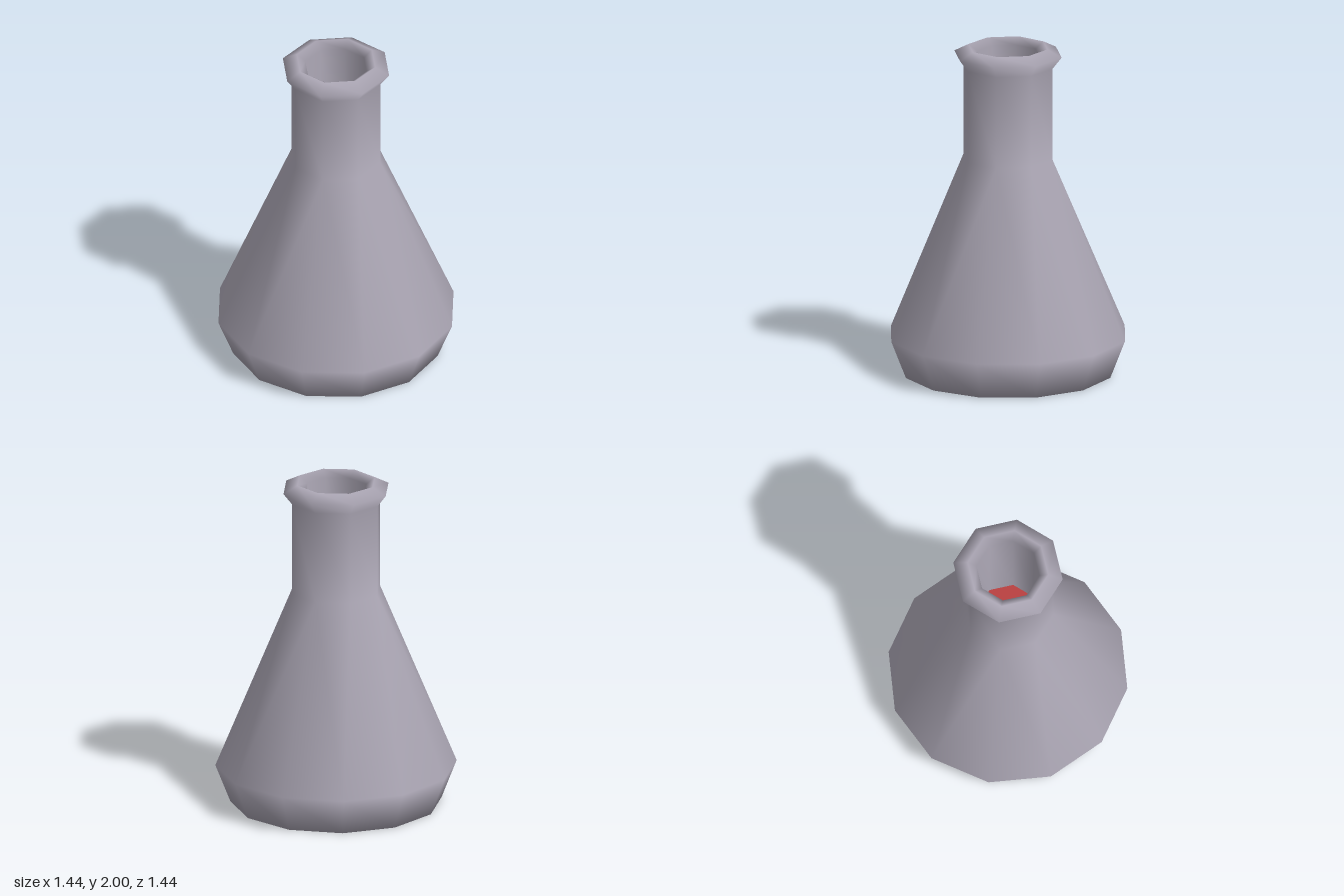
import * as THREE from 'three';

// Skin a stack of rings [sides, radius, y]; neighbouring rings may differ in side count
function loft(rings) {
  const positions = [], index = [], starts = [];
  for (const [n, r, y] of rings) {
    starts.push(positions.length / 3);
    for (let i = 0; i < n; i++) {
      const a = (i / n) * Math.PI * 2;
      positions.push(Math.sin(a) * r, y, Math.cos(a) * r);
    }
  }
  for (let k = 0; k < rings.length - 1; k++) {
    const na = rings[k][0], nb = rings[k + 1][0];
    const low = (i) => starts[k] + (i % na), high = (j) => starts[k + 1] + (j % nb);
    // Walk round both rings together, always advancing the one that lags
    let i = 0, j = 0;
    while (i < na || j < nb) {
      if (j >= nb || (i < na && (i + 0.5) / na <= (j + 0.5) / nb)) {
        if (na > 1) index.push(low(i), low(i + 1), high(j));
        i++;
      } else {
        if (nb > 1) index.push(low(i), high(j + 1), high(j));
        j++;
      }
    }
  }
  const geometry = new THREE.BufferGeometry();
  geometry.setAttribute('position', new THREE.Float32BufferAttribute(positions, 3));
  geometry.setIndex(index);
  geometry.computeVertexNormals();
  return geometry;
}

export function createModel() {
  const group = new THREE.Group();
  group.name = 'flask';

  const glass = new THREE.MeshStandardMaterial({ color: 0xaca7b5, side: THREE.DoubleSide });
  glass.name = 'grey glass';
  const red = new THREE.MeshStandardMaterial({ color: 0xb94040 });
  red.name = 'red liquid';

  // Glass: base, twelve-sided cone, eight-sided neck, flared lip and inner wall
  const body = new THREE.Mesh(loft([
    [1, 0, 0],
    [12, 0.63, 0],
    [12, 0.72, 0.23],
    [8, 0.275, 1.32],
    [8, 0.275, 1.883],
    [8, 0.33, 1.955],
    [8, 0.243, 2],
    [8, 0.19, 1.96],
    [8, 0.19, 1.2],
  ]), glass);
  body.name = 'flaskBody';

  // Liquid surface closing the inside of the neck
  const liquid = new THREE.Mesh(loft([[8, 0.19, 1.2], [1, 0, 1.2]]), red);
  liquid.name = 'liquidSurface';

  group.add(body, liquid);
  return group;
}
